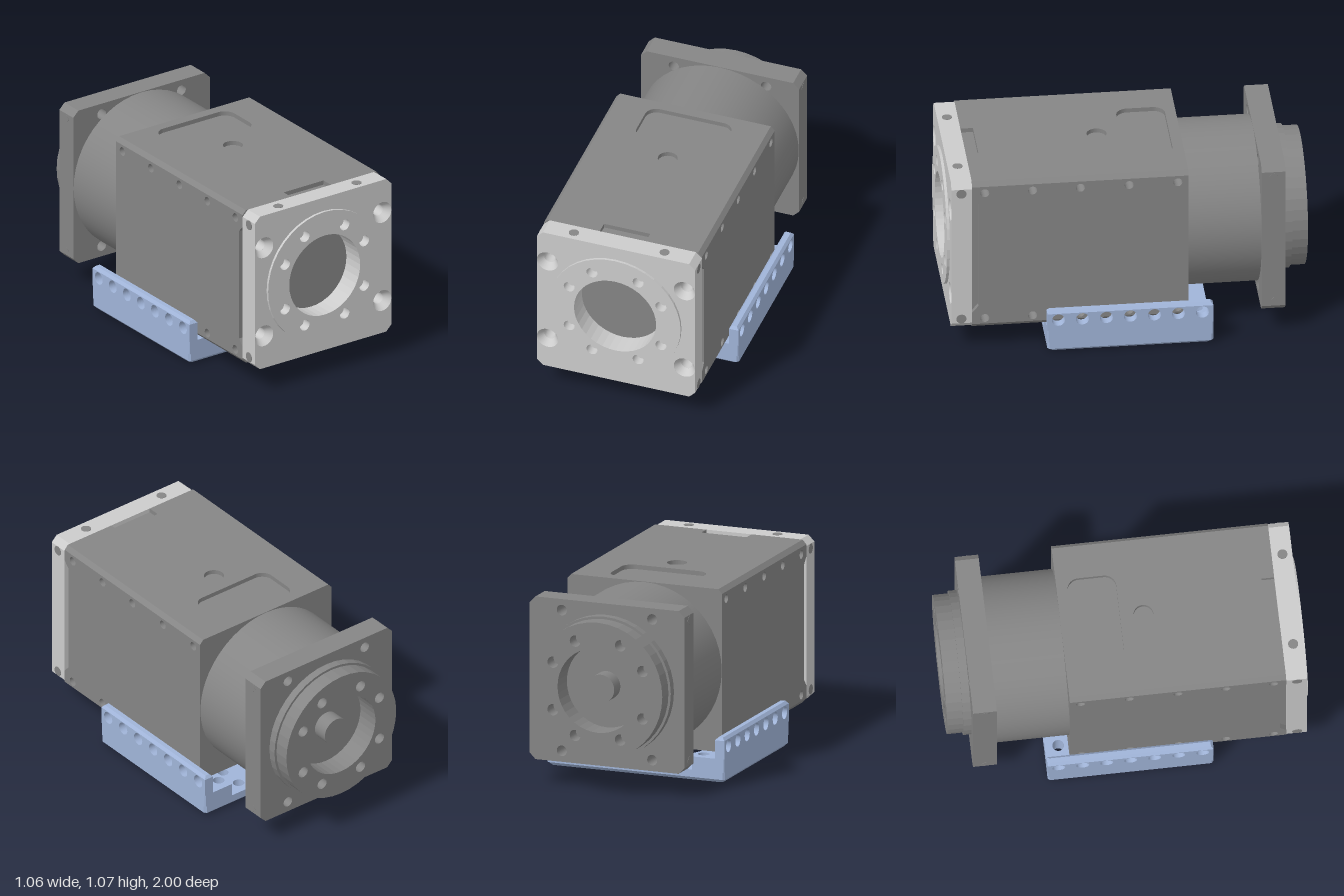
import * as THREE from 'three';

const GREY = new THREE.MeshStandardMaterial({ color: 0xcccccc, side: THREE.DoubleSide });
const DARK = new THREE.MeshStandardMaterial({ color: 0x858585, side: THREE.DoubleSide });
const BLUE = new THREE.MeshStandardMaterial({ color: 0xa0b4d8, side: THREE.DoubleSide });
const CY = 0.6025, HALF = 0.4625;

const circle = (x, y, r) => new THREE.Path().absarc(x, y, r, 0, Math.PI * 2, true);

function polygon(points) {
  return new THREE.Shape(points.map(([x, y]) => new THREE.Vector2(x, y)));
}

// Rectangle with cut corners
function cutRect(x0, y0, x1, y1, c) {
  return polygon([[x0 + c, y0], [x1 - c, y0], [x1, y0 + c], [x1, y1 - c],
    [x1 - c, y1], [x0 + c, y1], [x0, y1 - c], [x0, y0 + c]]);
}

function disc(r) {
  return new THREE.Shape().absarc(0, CY, r, 0, Math.PI * 2, false);
}

function roundedHole(x0, y0, x1, y1, r) {
  const p = new THREE.Path();
  p.absarc(x1 - r, y1 - r, r, 0, Math.PI / 2);
  p.absarc(x0 + r, y1 - r, r, Math.PI / 2, Math.PI);
  p.absarc(x0 + r, y0 + r, r, Math.PI, Math.PI * 1.5);
  p.absarc(x1 - r, y0 + r, r, Math.PI * 1.5, Math.PI * 2);
  return p;
}

// Extrude from "from" to "to" along an axis; shapes along x use (-z, y), along y use (x, -z)
function slab(name, shape, holes, axis, from, to, material, rule) {
  shape.holes.push(...holes);
  const g = new THREE.ExtrudeGeometry(shape, { depth: to - from, bevelEnabled: false, curveSegments: 20 });
  g.translate(0, 0, from);
  if (axis === 'x') g.rotateY(Math.PI / 2);
  if (axis === 'y') g.rotateX(-Math.PI / 2);
  if (rule) {
    const p = g.attributes.position, v = new THREE.Vector3();
    for (let i = 0; i < p.count; i++) {
      rule(v.fromBufferAttribute(p, i));
      p.setXYZ(i, v.x, v.y, v.z);
    }
    g.computeVertexNormals();
  }
  const m = new THREE.Mesh(g, material);
  m.name = name;
  return m;
}

function rod(name, r, x, y, z, length, axis, material, sides = 20) {
  const m = new THREE.Mesh(new THREE.CylinderGeometry(r, r, length, sides), material);
  if (axis === 'z') m.rotation.x = Math.PI / 2;
  if (axis === 'x') m.rotation.z = Math.PI / 2;
  m.position.set(x, y, z);
  m.name = name;
  return m;
}

const corners = (dx, dy) => [[1, 1], [-1, 1], [-1, -1], [1, -1]].map(([a, b]) => [a * dx, CY + b * dy]);
const square = () => cutRect(-HALF, CY - HALF, HALF, CY + HALF, 0.035);
const bore = (r = 0.24) => circle(0, CY, r);
const boltHoles = () => [...corners(0.135, 0.268), ...corners(0.268, 0.135)].map(([x, y]) => circle(x, y, 0.032));

function frontPlate() {
  const g = new THREE.Group();
  g.name = 'frontPlate';
  const screws = corners(0.4, 0.267);
  g.add(slab('plateBack', square(), [bore(), ...screws.map(([x, y]) => circle(x, y, 0.033))], 'z', 0.87, 0.945, GREY));
  g.add(slab('plateFace', square(), [bore(), ...boltHoles(), ...screws.map(([x, y]) => circle(x, y, 0.062))],
    'z', 0.945, 0.985, GREY));
  g.add(slab('outputRing', disc(0.383), [bore(), ...boltHoles()], 'z', 0.985, 1, GREY));
  // Conical screw seats
  for (const [x, y] of screws) {
    const seat = new THREE.Mesh(new THREE.CylinderGeometry(0.062, 0.033, 0.04, 24, 1, true), GREY);
    seat.rotation.x = Math.PI / 2;
    seat.position.set(x, y, 0.965);
    seat.name = 'screwSeat';
    g.add(seat);
  }
  // Plugs on the four edges
  for (const s of [-1, 1]) {
    for (const t of [-1, 1]) {
      g.add(rod('sidePlug', 0.028, s * HALF, CY + t * 0.4, 0.93, 0.004, 'x', DARK));
      g.add(rod('edgePlug', 0.028, s * 0.265, CY + t * HALF, 0.93, 0.004, 'y', DARK));
    }
  }
  return g;
}

function body() {
  const g = new THREE.Group();
  g.name = 'motorBody';
  const y0 = 0.165, y1 = 1.04;
  const crossHoles = () => [0.8, 0.535, 0.27, 0, -0.27].flatMap(z => [circle(-z, 1, 0.025), circle(-z, 0.2, 0.025)]);
  const plain = polygon([[-0.87, y0], [0.33, y0], [0.33, y1], [-0.87, y1]]);
  g.add(slab('core', plain, crossHoles(), 'x', -0.435, 0.435, DARK));
  // Side skins with a shallow notch behind the front plate
  for (const s of [-1, 1]) {
    const skin = polygon([[-0.87, y0], [0.33, y0], [0.33, y1], [-0.87, y1], [-0.87, 0.97],
      [-0.835, 0.93], [-0.835, 0.28], [-0.87, 0.24]]);
    g.add(slab('sideSkin', skin, crossHoles(), 'x', s > 0 ? 0.435 : -HALF, s > 0 ? HALF : -0.435, DARK));
  }
  // Top and bottom skins, tapered to chamfer the long edges
  const taper = edge => v => {
    if (Math.abs(v.y - edge) < 0.001 && Math.abs(v.x) > 0.46) v.x = Math.sign(v.x) * 0.44;
  };
  const top = polygon([[-HALF, -0.87], [-0.135, -0.87], [-0.135, -0.8], [0.135, -0.8], [0.135, -0.87],
    [HALF, -0.87], [HALF, 0.33], [-HALF, 0.33]]);
  g.add(slab('topSkin', top, [roundedHole(-0.25, 0, 0.25, 0.27, 0.065), circle(0, -0.13, 0.055)],
    'y', y1, 1.065, DARK, taper(1.065)));
  const bottom = polygon([[-HALF, -0.87], [HALF, -0.87], [HALF, 0.33], [-HALF, 0.33]]);
  g.add(slab('bottomSkin', bottom, [], 'y', 0.14, y0, DARK, taper(0.14)));
  return g;
}

function rearUnit() {
  const g = new THREE.Group();
  g.name = 'rearUnit';
  g.add(rod('rearDrum', 0.46, 0, CY, -0.5325, 0.405, 'z', DARK, 48));
  g.add(slab('rearFlange', square(), corners(0.27, 0.4).map(([x, y]) => circle(x, y, 0.03)), 'z', -0.867, -0.735, DARK));
  g.add(slab('hubStep', disc(0.4), [bore()], 'z', -0.912, -0.867, DARK));
  g.add(slab('hubRing', disc(0.386), [bore(), ...boltHoles()], 'z', -1, -0.912, DARK));
  g.add(rod('shaft', 0.08, 0, CY, -0.91, 0.09, 'z', DARK, 28));
  for (const s of [-1, 1]) {
    for (const t of [-1, 1]) g.add(rod('flangePlug', 0.025, s * HALF, CY + t * 0.4, -0.8, 0.004, 'x', DARK, 4));
  }
  return g;
}

function cradle() {
  const g = new THREE.Group();
  g.name = 'cradle';
  const W = 0.53, D = 0.46;
  const spots = [[0.375, 0.385], [0.375, 0.24], [0.235, 0.385], [0.24, 0.25], [0.405, 0.07]];
  const all = spots.flatMap(([x, z]) => [[x, z], [-x, z], [-x, -z], [x, -z]]);
  // Drilled floor with its underside edge chamfered
  const chamfer = v => {
    if (v.y > 0.001) return;
    if (Math.abs(v.x) > 0.5) v.x -= Math.sign(v.x) * 0.018;
    if (Math.abs(v.z) > 0.43) v.z -= Math.sign(v.z) * 0.018;
  };
  const drill = ([x, z]) => circle(x, z, 0.032);
  g.add(slab('floorEdge', cutRect(-W, -D, W, D, 0.012), [circle(0, 0, 0.23), ...all.map(drill)], 'y', 0, 0.018, BLUE, chamfer));
  g.add(slab('floor', cutRect(-W, -D, W, D, 0.012), [circle(0, 0, 0.23), ...all.map(drill)], 'y', 0.018, 0.06, BLUE));
  for (const s of [-1, 1]) {
    // Support pad
    const [px0, px1] = s > 0 ? [0.335, W] : [-W, -0.335];
    g.add(slab('pad', cutRect(px0, -D, px1, D, 0.005), all.filter(([x]) => x * s > 0.335).map(drill), 'y', 0.06, 0.135, BLUE));
    // Side wall with a row of holes and a chamfered rim
    const [wx0, wx1] = s > 0 ? [0.475, W] : [-W, -0.475];
    const row = Array.from({ length: 7 }, (_, i) => circle((i - 3) * 0.133, 0.2, 0.036));
    g.add(slab('wall', polygon([[-D, 0.135], [D, 0.135], [D, 0.24], [-D, 0.24]]), row, 'x', wx0, wx1, BLUE));
    const mid = (wx0 + wx1) / 2;
    g.add(slab('wallRim', polygon([[wx0, -D], [wx1, -D], [wx1, D], [wx0, D]]), [], 'y', 0.24, 0.256, BLUE, v => {
      if (v.y < 0.25) return;
      v.x -= Math.sign(v.x - mid) * 0.014;
      v.z -= Math.sign(v.z) * 0.014;
    }));
  }
  return g;
}

export function createModel() {
  const model = new THREE.Group();
  model.name = 'mountedServoUnit';
  model.add(frontPlate(), body(), rearUnit(), cradle());
  return model;
}
